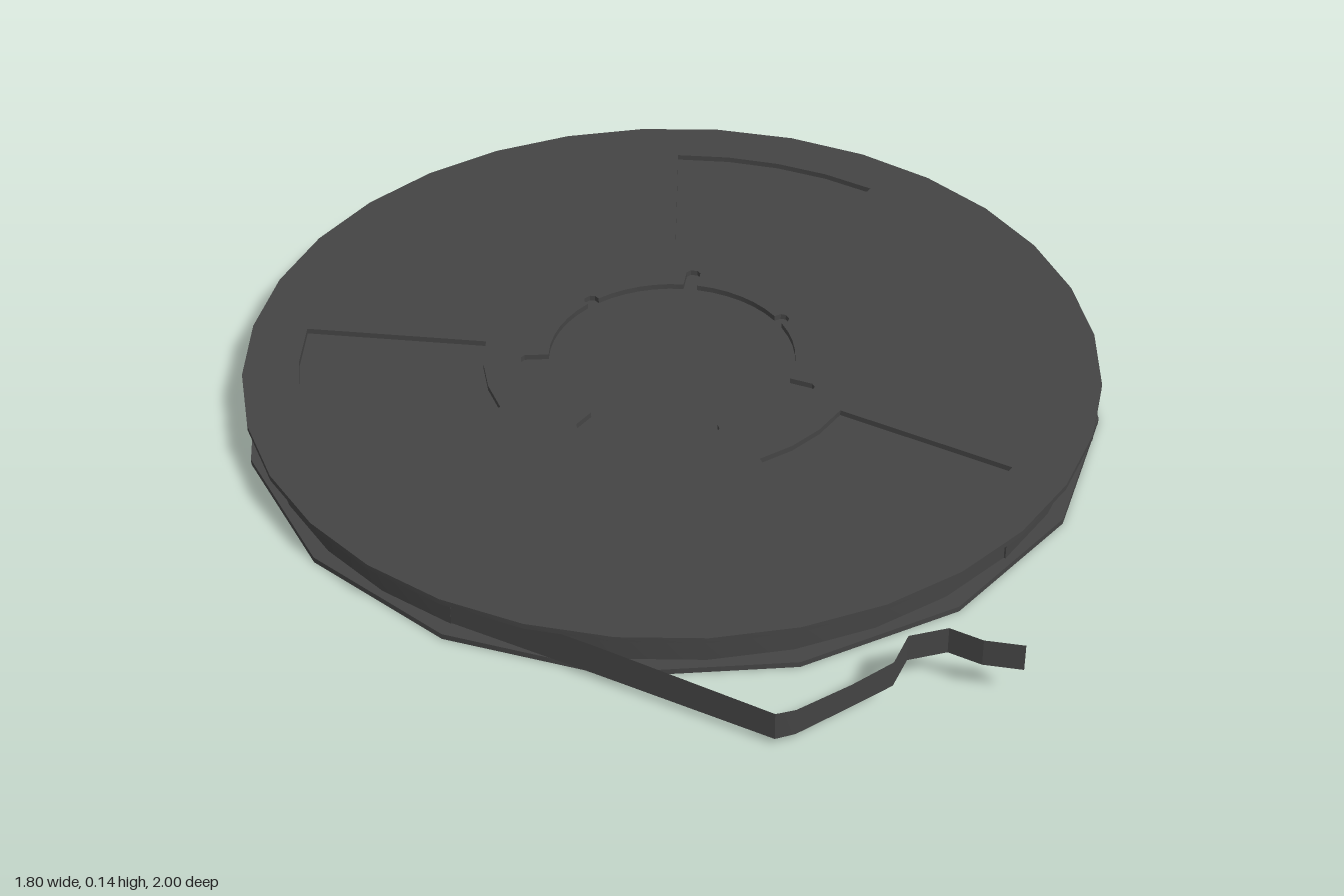
import * as THREE from 'three';
import { toCreasedNormals } from 'three/addons/utils/BufferGeometryUtils.js';

const RAD = Math.PI / 180;
const CENTRE_Z = -0.1;
const FLANGE = 0.012;  // flange thickness
const TOP = 0.1;       // overall reel height
const polar = (r, deg) => new THREE.Vector2(r * Math.cos(deg * RAD), r * Math.sin(deg * RAD));

// Points on an arc, both ends included
function arc(r, from, to, steps) {
  return Array.from({ length: steps + 1 }, (_, i) => polar(r, from + (to - from) * i / steps));
}

// Upright slab from a plan outline, smooth around its curves
function slab(shape, y, height) {
  const geo = new THREE.ExtrudeGeometry(shape, { depth: height, bevelEnabled: false });
  geo.rotateX(-Math.PI / 2).translate(0, y, 0);
  return toCreasedNormals(geo, 0.5);
}

// Hub opening with narrow key slots: [angle, outer radius]
function hubHole() {
  const slots = [[13.3, 0.283], [65.5, 0.315], [115.2, 0.28], [167.3, 0.318],
    [218, 0.317], [272, 0.28], [322, 0.317]];
  const r = 0.26, half = 0.015, inner = Math.asin(half / r) / RAD;
  const pts = [];
  slots.forEach(([a, outer], i) => {
    const next = i + 1 < slots.length ? slots[i + 1][0] : slots[0][0] + 360;
    const dir = polar(1, a), side = polar(half, a + 90);
    const tip = dir.clone().multiplyScalar(outer - 0.008);
    pts.push(polar(r, a - inner), tip.clone().sub(side),
      dir.clone().multiplyScalar(outer).addScaledVector(side, -0.5),
      dir.clone().multiplyScalar(outer).addScaledVector(side, 0.5),
      tip.clone().add(side));
    pts.push(...arc(r, a + inner, next - inner, 6).slice(0, -1));
  });
  return new THREE.Path(pts);
}

// Ribbon standing on a path of [x, z, bottom y, top y]
function ribbon(path) {
  const pos = [], index = [];
  path.forEach(([x, z, low, high], i) => {
    pos.push(x, low, z, x, high, z);
    const a = 2 * i;
    if (i < path.length - 1) index.push(a, a + 2, a + 1, a + 1, a + 2, a + 3);
  });
  const geo = new THREE.BufferGeometry();
  geo.setAttribute('position', new THREE.Float32BufferAttribute(pos, 3));
  geo.setIndex(index);
  return toCreasedNormals(geo, 0.3);
}

export function createModel() {
  const group = new THREE.Group();
  const material = new THREE.MeshStandardMaterial({ color: 0x444444 });
  const add = (name, geo, mat = material, z = CENTRE_Z) => {
    const mesh = new THREE.Mesh(geo, mat);
    mesh.name = name;
    mesh.position.z = z;
    group.add(mesh);
  };

  // Top flange with three windows and the hub opening
  const disc = new THREE.Shape(arc(0.9, 0, 360, 32).slice(0, -1));
  for (const mid of [56.2, 174.4, 297.8]) {
    disc.holes.push(new THREE.Path([
      ...arc(0.783, mid - 17.1, mid + 17.1, 4),
      ...arc(0.397, mid + 17.1, mid - 17.1, 3),
    ]));
  }
  disc.holes.push(hubHole());
  add('topFlange', slab(disc, TOP - FLANGE, FLANGE));

  // Solid bottom flange, with fewer sides
  const bottom = new THREE.CylinderGeometry(0.9, 0.9, FLANGE, 16);
  bottom.translate(0, FLANGE / 2, 0);
  add('bottomFlange', bottom);

  // Wound tape, one turn thinner between the seam and the loose end
  const pack = new THREE.Shape([
    ...arc(0.866, -56.25, 225, 25),
    ...arc(0.862, 225, 303.75, 7),
  ]);
  add('tapePack', slab(pack, FLANGE, TOP - 2 * FLANGE));

  // Loose end leaving the pack and curling upward
  const thin = material.clone();
  thin.side = THREE.DoubleSide;
  add('looseTape', ribbon([
    [-0.612, 0.512, 0.014, 0.086], [-0.38, 0.73, 0.014, 0.084],
    [-0.11, 0.99, 0.015, 0.077], [-0.07, 0.99, 0.017, 0.077],
    [0.04, 0.977, 0.045, 0.1], [0.125, 0.965, 0.066, 0.124],
    [0.17, 0.915, 0.075, 0.135], [0.25, 0.915, 0.075, 0.135],
    [0.3, 0.965, 0.075, 0.135], [0.37, 1.0, 0.075, 0.135],
  ]), thin, 0);

  return group;
}
